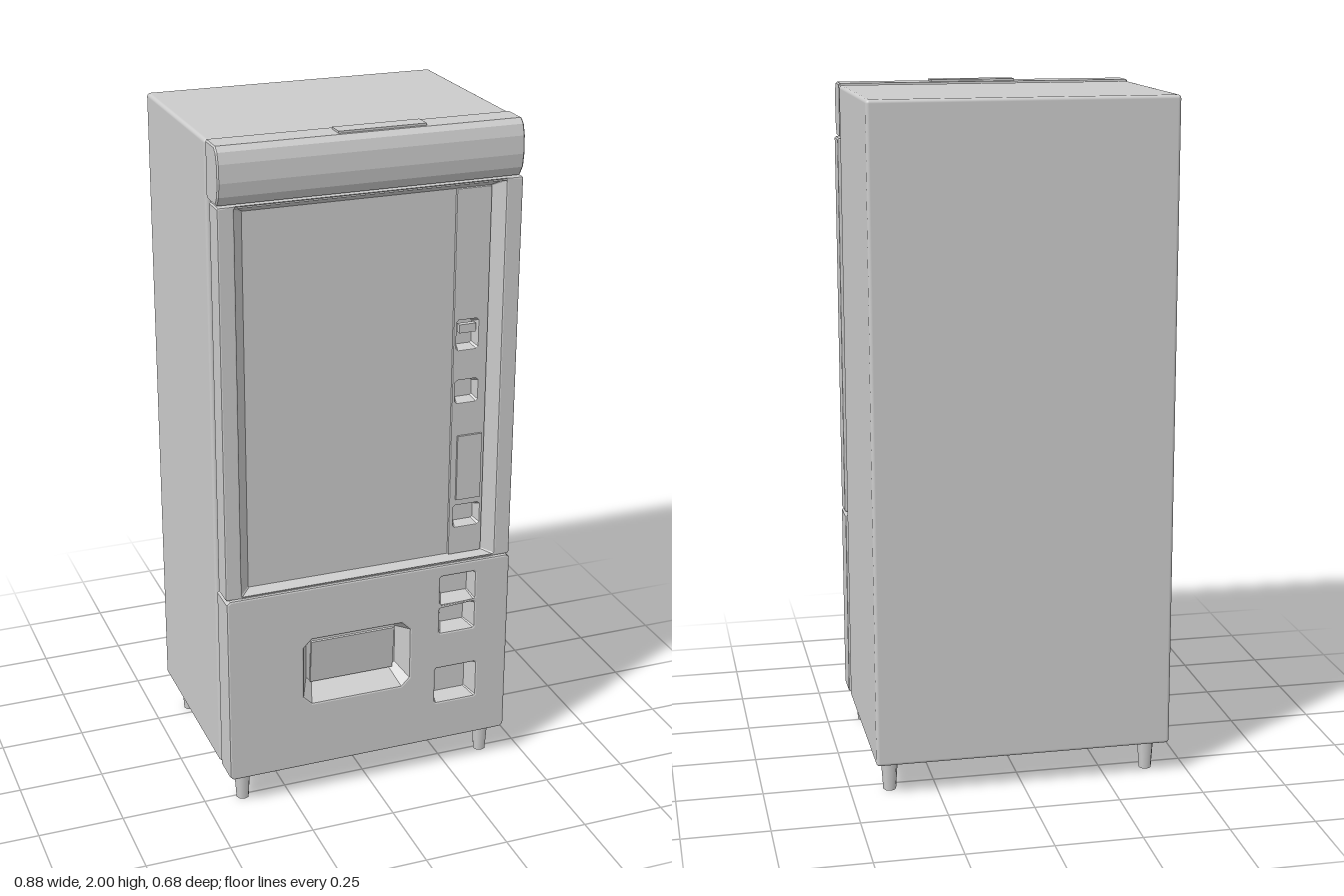
import * as THREE from 'three';
import { RoundedBoxGeometry } from 'three/addons/geometries/RoundedBoxGeometry.js';

// Rectangles are [x0, y0, x1, y1]; c is the corner cut
function corners([x0, y0, x1, y1], c) {
  return [[x0 + c, y0], [x1 - c, y0], [x1, y0 + c], [x1, y1 - c],
    [x1 - c, y1], [x0 + c, y1], [x0, y1 - c], [x0, y0 + c]];
}

function rectPath(rect, c, Type = THREE.Shape) {
  return new Type(corners(rect, c).map(([x, y]) => new THREE.Vector2(x, y)));
}

// Plate with bevelled edges and openings, spanning z0..z1
function plateGeometry(rect, c, holes, z0, z1, bevel) {
  const shape = rectPath(rect, c);
  for (const h of holes) shape.holes.push(rectPath(h.outer, h.cut, THREE.Path));
  const g = new THREE.ExtrudeGeometry(shape, {
    depth: z1 - z0 - 2 * bevel, bevelEnabled: true, bevelSize: bevel,
    bevelThickness: bevel, bevelOffset: -bevel, bevelSegments: 2,
  });
  return g.translate(0, 0, z0 + bevel);
}

// Sloping ring of walls from an outer outline at z1 back to an inner one at z0
function slopeGeometry(h, z1, z0) {
  const a = corners(h.outer, h.cut), b = corners(h.inner, h.cut * 0.7);
  const pos = [];
  for (let i = 0; i < 8; i++) {
    const j = (i + 1) % 8;
    const A = [...a[i], z1], B = [...a[j], z1], C = [...b[j], z0], D = [...b[i], z0];
    pos.push(...A, ...B, ...C, ...A, ...C, ...D);
  }
  const g = new THREE.BufferGeometry();
  g.setAttribute('position', new THREE.Float32BufferAttribute(pos, 3));
  g.computeVertexNormals();
  return g;
}

export function createModel() {
  const group = new THREE.Group();
  const grey = new THREE.MeshStandardMaterial({ color: 0xcccccc, side: THREE.DoubleSide });
  grey.name = 'light grey';

  function add(name, geometry, x = 0, y = 0, z = 0) {
    const mesh = new THREE.Mesh(geometry, grey);
    mesh.name = name;
    mesh.position.set(x, y, z);
    group.add(mesh);
    return mesh;
  }
  function recess(name, h, z1, z0) {
    add(name + 'Walls', slopeGeometry(h, z1, z0));
    add(name + 'Floor', new THREE.ShapeGeometry(rectPath(h.inner, h.cut * 0.7)), 0, 0, z0);
  }

  // Cabinet, its back leaning out a little towards the bottom
  const cabinet = new RoundedBoxGeometry(0.87, 1.89, 0.557, 3, 0.01);
  const p = cabinet.attributes.position;
  for (let i = 0; i < p.count; i++) {
    if (p.getZ(i) < 0) p.setZ(i, p.getZ(i) - 0.012 * (0.5 - p.getY(i) / 1.89));
  }
  add('cabinet', cabinet, -0.003, 1.045, -0.068);
  add('hingeGap', new THREE.BoxGeometry(0.83, 1.85, 0.04), -0.003, 1.045, 0.22);

  // Lower door panel with delivery tray, coin slots and coin return
  const tray = { outer: [-0.21, 0.31, 0.12, 0.52], inner: [-0.18, 0.34, 0.1, 0.495], cut: 0.025 };
  const coinSlots = [
    { outer: [0.215, 0.56, 0.325, 0.65], inner: [0.235, 0.57, 0.32, 0.64], cut: 0.004 },
    { outer: [0.215, 0.465, 0.325, 0.55], inner: [0.235, 0.475, 0.31, 0.54], cut: 0.004 },
    { outer: [0.205, 0.23, 0.335, 0.345], inner: [0.215, 0.24, 0.32, 0.335], cut: 0.004 },
  ];
  add('lowerDoor', plateGeometry([-0.44, 0.1, 0.435, 0.688], 0.01, [tray, ...coinSlots], 0.228, 0.32, 0.006));
  recess('deliveryTray', tray, 0.314, 0.25);
  coinSlots.forEach((h, i) => recess('coinRecess' + (i + 1), h, 0.314, 0.27));

  // Delivery flap inside the tray
  add('deliveryFlap', new THREE.BoxGeometry(0.26, 0.14, 0.008), -0.04, 0.415, 0.262).rotation.x = 0.1;

  // Upper door frame with a sloping bezel
  const opening = { outer: [-0.392, 0.694, 0.385, 1.828], inner: [-0.362, 0.705, 0.352, 1.808], cut: 0.004 };
  add('upperDoorFrame', plateGeometry([-0.44, 0.688, 0.435, 1.833], 0.004, [opening], 0.245, 0.314, 0.005));
  add('upperDoorBack', plateGeometry([-0.43, 0.688, 0.425, 1.833], 0.004, [], 0.225, 0.245, 0.003));
  add('windowBezel', slopeGeometry(opening, 0.309, 0.28));
  add('window', new THREE.PlaneGeometry(0.62, 1.11), -0.056, 1.257, 0.281);

  // Control column beside the window
  const controls = [
    { outer: [0.258, 1.34, 0.325, 1.43], inner: [0.265, 1.35, 0.315, 1.42], cut: 0.006 },
    { outer: [0.258, 1.18, 0.328, 1.25], inner: [0.265, 1.19, 0.32, 1.24], cut: 0.006 },
    { outer: [0.262, 0.79, 0.345, 0.86], inner: [0.27, 0.8, 0.335, 0.85], cut: 0.006 },
  ];
  add('controlColumn', plateGeometry([0.25, 0.704, 0.353, 1.809], 0.002, controls, 0.262, 0.29, 0.002));
  controls.forEach((h, i) => recess('controlRecess' + (i + 1), h, 0.288, 0.262));
  add('displayHood', new THREE.BoxGeometry(0.05, 0.025, 0.016), 0.29, 1.405, 0.285);
  add('noteReader', new THREE.BoxGeometry(0.075, 0.2, 0.012), 0.305, 0.98, 0.291);

  // Header with a softly swept front
  const profile = [[0.225, 1.836], [0.303, 1.836], [0.32, 1.862], [0.326, 1.9],
    [0.324, 1.95], [0.315, 1.98], [0.3, 1.994], [0.225, 1.994]];
  const header = new THREE.ExtrudeGeometry(
    new THREE.Shape(profile.map(([z, y]) => new THREE.Vector2(-z, y))),
    { depth: 0.862, bevelEnabled: true, bevelSize: 0.004, bevelThickness: 0.004, bevelOffset: -0.004, bevelSegments: 1 });
  header.rotateY(Math.PI / 2).translate(-0.436, 0, 0);
  add('header', header);
  add('headerCap', new THREE.BoxGeometry(0.25, 0.01, 0.05), 0.03, 1.995, 0.265);

  // Four short tapering feet
  for (const x of [-0.385, 0.385]) {
    for (const z of [-0.285, 0.258]) {
      add('foot', new THREE.CylinderGeometry(0.026, 0.019, 0.11, 8), x, 0.055, z);
    }
  }
  return group;
}
